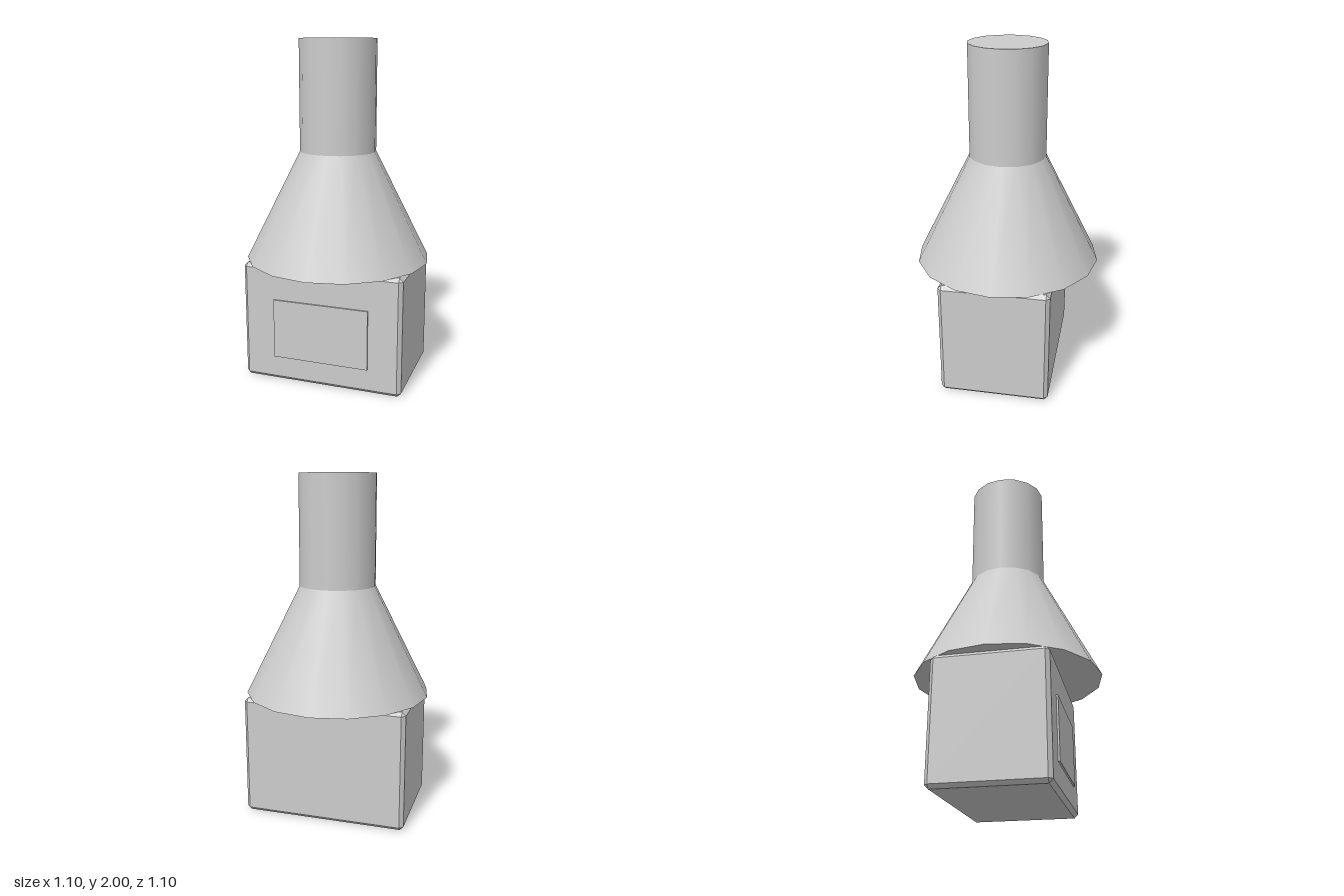
import * as THREE from 'three';
import { ConvexGeometry } from 'three/addons/geometries/ConvexGeometry.js';

// Box with every edge cut at 45 degrees
function chamferedBox(w, h, d, c) {
  const points = [];
  for (const sx of [-1, 1]) for (const sy of [-1, 1]) for (const sz of [-1, 1]) {
    const x = w / 2, y = h / 2, z = d / 2;
    points.push(
      new THREE.Vector3(sx * x, sy * (y - c), sz * (z - c)),
      new THREE.Vector3(sx * (x - c), sy * y, sz * (z - c)),
      new THREE.Vector3(sx * (x - c), sy * (y - c), sz * z)
    );
  }
  return new ConvexGeometry(points);
}

export function createModel() {
  const model = new THREE.Group();
  model.name = 'hoodedStove';
  const grey = new THREE.MeshStandardMaterial({ color: 0xcccccc });
  grey.name = 'light grey';

  const add = (name, geometry, y, z = 0) => {
    const mesh = new THREE.Mesh(geometry, grey);
    mesh.name = name;
    mesh.position.set(0, y, z);
    model.add(mesh);
  };

  // Firebox with a thin door on the front
  add('firebox', chamferedBox(0.966, 0.712, 0.644, 0.022), 0.356);
  add('door', new THREE.BoxGeometry(0.576, 0.356, 0.02), 0.327, 0.322);

  // Flared hood and straight chimney, sixteen smooth sides
  add('hood', new THREE.CylinderGeometry(0.225, 0.548, 0.642, 16), 1.035);
  add('chimney', new THREE.CylinderGeometry(0.225, 0.225, 0.644, 16), 1.678);

  return model;
}
